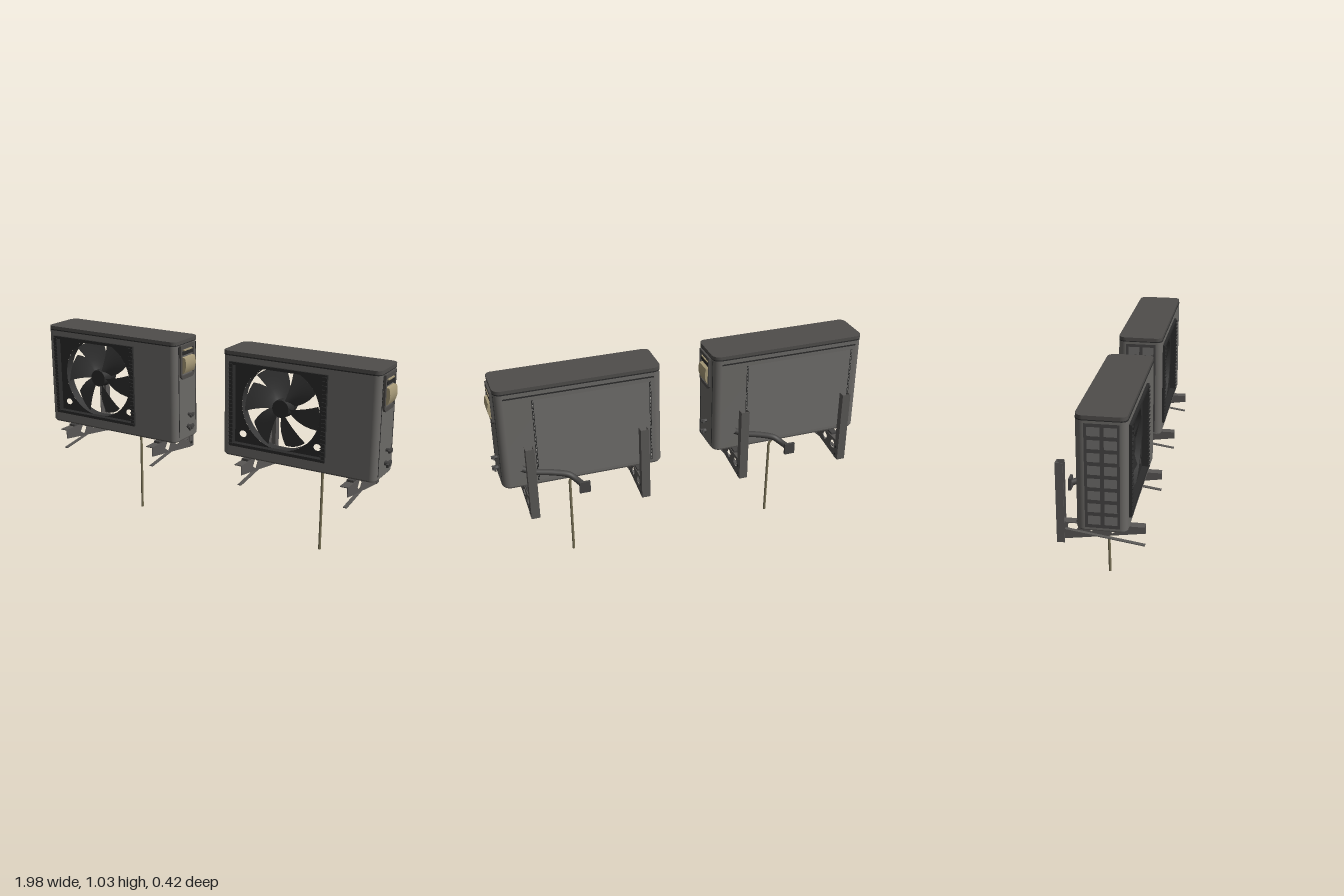
import * as THREE from 'three';

const mat = (name, color, side = THREE.FrontSide) => {
  const m = new THREE.MeshStandardMaterial({ color, side });
  m.name = name;
  return m;
};

export function createModel() {
  const M = {
    body: mat('casing grey', 0x6b6966),
    lid: mat('lid grey', 0x4f4d4b),
    black: mat('grille black', 0x2b2b2b),
    fan: mat('fan charcoal', 0x363636, THREE.DoubleSide),
    steel: mat('bracket steel', 0x595755),
    fins: mat('coil grey', 0x6e6d6b),
    pale: mat('seam pale grey', 0xa3a19d),
    tan: mat('cover tan', 0xa79a78),
    drain: mat('drain tan grey', 0x7a7257),
    hose: mat('hose dark grey', 0x454443),
  };
  const unit = new THREE.Group();
  const add = (parent, name, geo, material, x = 0, y = 0, z = 0) => {
    const m = new THREE.Mesh(geo, material);
    m.name = name;
    m.position.set(x, y, z);
    parent.add(m);
    return m;
  };
  const box = (parent, name, material, w, h, d, x, y, z) =>
    add(parent, name, new THREE.BoxGeometry(w, h, d), material, x, y, z);
  const rect = (x0, y0, x1, y1) => {
    const pts = [[x0, y0], [x1, y0], [x1, y1], [x0, y1]];
    return pts.map(p => new THREE.Vector2(...p));
  };
  const extrude = (shape, depth) =>
    new THREE.ExtrudeGeometry(shape, { depth, bevelEnabled: false, curveSegments: 20 });

  // Casing footprint (x, z), open along the front
  const foot = new THREE.Path();
  foot.moveTo(0.385, 0.15);
  foot.absarc(0.385, 0.12, 0.03, Math.PI / 2, 0, true);
  foot.absarc(0.375, -0.04, 0.04, 0, -Math.PI / 2, true);
  foot.absarc(-0.375, -0.04, 0.04, -Math.PI / 2, -Math.PI, true);
  foot.absarc(-0.385, 0.12, 0.03, Math.PI, Math.PI / 2, true);
  const ring = foot.getPoints(6);

  // Side and back walls, visible only from outside
  const Y0 = 0.495, Y1 = 1.012, pos = [], idx = [];
  ring.forEach((p, i) => {
    pos.push(p.x, Y0, p.y, p.x, Y1, p.y);
    const a = i * 2;
    if (i < ring.length - 1) idx.push(a, a + 2, a + 3, a, a + 3, a + 1);
  });
  const wall = new THREE.BufferGeometry();
  wall.setAttribute('position', new THREE.Float32BufferAttribute(pos, 3));
  wall.setIndex(idx);
  wall.computeVertexNormals();
  add(unit, 'casingWall', wall, M.body);

  // Front panel with the grille opening
  const G = [-0.371, 0.544, 0.157, 0.98];
  const front = new THREE.Shape(rect(-0.385, Y0, 0.385, Y1));
  front.holes.push(new THREE.Path(rect(...G)));
  add(unit, 'frontPanel', new THREE.ShapeGeometry(front), M.body, 0, 0, 0.15);

  // Lid and bottom pan share the footprint
  const slab = (name, material, depth, top, sx, sz) => {
    const g = extrude(new THREE.Shape(ring), depth);
    g.rotateX(Math.PI / 2);
    const m = add(unit, name, g, material, 0, top, 0);
    m.scale.set(sx, 1, sz);
  };
  slab('lid', M.lid, 0.018, 1.03, 1.005, 0.99);
  slab('lidShadowGap', M.black, 0.006, 1.013, 1.002, 1.005);
  slab('bottomPan', M.lid, 0.01, 0.497, 0.985, 0.97);

  // Grille bezel and recessed fan plate
  const bezel = new THREE.Shape(rect(...G));
  bezel.holes.push(new THREE.Path(rect(G[0] + 0.02, G[1] + 0.015, G[2] - 0.02, G[3] - 0.015)));
  add(unit, 'grilleBezel', extrude(bezel, 0.035), M.black, 0, 0, 0.127);
  const FX = -0.1, FY = 0.768, FR = 0.213;
  const plate = new THREE.Shape(rect(...G));
  plate.holes.push(new THREE.Path().absarc(FX, FY, FR, 0, Math.PI * 2, true));
  for (const x of [-0.305, 0.105])
    plate.holes.push(new THREE.Path().absellipse(x, 0.607, 0.02, 0.017, 0, Math.PI * 2, true));
  add(unit, 'fanPlate', new THREE.ShapeGeometry(plate, 24), M.black, 0, 0, 0.132);
  for (let i = 0; i < 21; i++)
    for (const x of [G[0] + 0.012, G[2] - 0.012])
      box(unit, 'grilleClip', M.black, 0.022, 0.005, 0.01, x, 0.557 + i * 0.0205, 0.163);

  // Fan shroud, blades, hub and motor
  const shroud = new THREE.CylinderGeometry(FR, FR, 0.05, 40, 1, true);
  shroud.rotateX(Math.PI / 2);
  add(unit, 'fanShroud', shroud, M.fan, FX, FY, 0.107);
  const fan = new THREE.Group();
  fan.name = 'fan';
  fan.position.set(FX, FY, 0.1);
  unit.add(fan);
  const blade = new THREE.RingGeometry(0.035, 0.204, 8, 5, 0, 1);
  const bp = blade.attributes.position;
  for (let i = 0; i < bp.count; i++) {
    const x = bp.getX(i), y = bp.getY(i), r = Math.hypot(x, y), t = Math.atan2(y, x);
    const k = (r - 0.035) / 0.169;
    const a = t * (1 - 0.3 * k) + 0.45 * k;
    bp.setXYZ(i, r * Math.cos(a), r * Math.sin(a), (t - 0.5) * 0.05);
  }
  blade.computeVertexNormals();
  for (let i = 0; i < 6; i++)
    add(fan, 'fanBlade', blade, M.fan).rotation.z = i * Math.PI / 3 + 0.1;
  const hub = new THREE.CylinderGeometry(0.045, 0.05, 0.05, 24);
  hub.rotateX(Math.PI / 2);
  add(fan, 'fanHub', hub, M.black, 0, 0, 0.005);
  const motor = new THREE.CylinderGeometry(0.04, 0.04, 0.06, 20);
  motor.rotateX(Math.PI / 2);
  add(fan, 'fanMotor', motor, M.black, 0, 0, -0.05);

  // Back coil panel and its seams, facing backwards only
  const back = (name, material, w, h, x, y, z) =>
    (add(unit, name, new THREE.PlaneGeometry(w, h), material, x, y, z).rotation.y = Math.PI);
  back('coilPanel', M.fins, 0.59, 0.45, -0.06, 0.735, -0.082);
  back('topSeam', M.black, 0.75, 0.008, 0, 0.985, -0.083);
  for (const x of [-0.355, 0.235]) {
    back('sideSeam', M.black, 0.01, 0.45, x, 0.735, -0.083);
    for (let i = 0; i < 22; i++)
      back('seamMark', M.pale, 0.003, 0.013, x, 0.52 + i * 0.0205, -0.084);
  }

  // Slotted air intake on the right end
  const end = (name, material, w, h, y, z, x) =>
    (add(unit, name, new THREE.PlaneGeometry(w, h), material, x, y, z).rotation.y = -Math.PI / 2);
  end('intakeFrame', M.hose, 0.155, 0.49, 0.75, 0.04, -0.416);
  for (let i = 0; i < 8; i++)
    for (const z of [0.004, 0.078])
      end('intakeSlot', M.fins, 0.056, 0.042, 0.543 + i * 0.0595, z, -0.418);

  // Service cover on the left end: frame, handle slot and bulged cover
  const frame = new THREE.Shape();
  [[-0.109, 1.005], [-0.109, 0.842], [-0.09, 0.825], [0.004, 0.825], [0.022, 0.842], [0.022, 1.005]]
    .forEach((p, i) => (i ? frame.lineTo(...p) : frame.moveTo(...p)));
  frame.holes.push(new THREE.Path(rect(-0.095, 0.845, 0.012, 0.985)));
  const frameGeo = extrude(frame, 0.014);
  frameGeo.rotateY(Math.PI / 2);
  add(unit, 'serviceFrame', frameGeo, M.lid, 0.412, 0, 0);
  box(unit, 'serviceRecess', M.body, 0.004, 0.14, 0.107, 0.416, 0.915, 0.0415);
  box(unit, 'serviceSlot', M.black, 0.012, 0.02, 0.1, 0.42, 0.963, 0.04);
  box(unit, 'serviceSlotTrim', M.tan, 0.014, 0.006, 0.08, 0.421, 0.977, 0.04);
  const cover = new THREE.Shape();
  cover.moveTo(0.412, 0.853);
  cover.lineTo(0.428, 0.856);
  cover.quadraticCurveTo(0.45, 0.895, 0.435, 0.938);
  cover.lineTo(0.412, 0.942);
  add(unit, 'serviceCover', extrude(cover, 0.096), M.tan, 0, 0, -0.01);
  for (const z of [0.116, -0.05])
    box(unit, 'endSeam', M.black, 0.003, 0.49, 0.004, z > 0 ? 0.415 : 0.414, 0.755, z);

  // Service valves
  for (const [y, z, r] of [[0.62, 0.025, 0.009], [0.555, 0.033, 0.012]]) {
    const stem = new THREE.CylinderGeometry(r, r, 0.035, 10);
    stem.rotateZ(Math.PI / 2);
    add(unit, 'valveStem', stem, M.hose, 0.428, y, z);
    box(unit, 'valveNut', M.hose, 0.012, r * 1.2, r * 3.6, 0.436, y, z).rotation.x = 0.3;
    box(unit, 'valvePort', M.hose, 0.01, r * 2.6, r * 0.8, 0.43, y - r * 0.5, z);
  }

  // Wall brackets: post channel, holed arm plate and flanges
  const arm = new THREE.Shape();
  [[0.21, 0.415], [0.21, 0.465], [-0.19, 0.465], [-0.19, 0.36], [-0.16, 0.36]]
    .forEach((p, i) => (i ? arm.lineTo(-p[0], p[1]) : arm.moveTo(-p[0], p[1])));
  for (const [z, r, n] of [[0.062, 0.029, 4], [-0.035, 0.027, 4], [-0.125, 0.024, 12]]) {
    const hole = new THREE.Path();
    for (let i = 0; i <= n; i++) {
      const a = i / n * Math.PI * 2 + 0.2;
      hole[i ? 'lineTo' : 'moveTo'](-z + r * Math.cos(a), 0.43 - 0.005 * (n > 4) + r * Math.sin(a));
    }
    arm.holes.push(hole);
  }
  const armGeo = extrude(arm, 0.004);
  armGeo.rotateY(Math.PI / 2);
  for (const x of [-0.29, 0.285]) {
    const b = new THREE.Group();
    b.name = 'wallBracket';
    b.position.x = x;
    unit.add(b);
    add(b, 'armPlate', armGeo, M.steel, 0.017);
    box(b, 'armTop', M.steel, 0.042, 0.004, 0.38, 0, 0.464, 0.02);
    box(b, 'armLip', M.steel, 0.02, 0.004, 0.372, 0.009, 0.388, 0.025).rotation.x = 0.148;
    box(b, 'postPlate', M.steel, 0.044, 0.395, 0.004, 0, 0.5575, -0.19);
    for (const s of [-1, 1])
      box(b, 'postFlange', M.steel, 0.004, 0.395, 0.035, s * 0.02, 0.5575, -0.173);
    box(b, 'footRail', M.black, 0.045, 0.014, 0.15, 0, 0.482, 0.03);
    box(b, 'footPad', M.hose, 0.035, 0.012, 0.24, 0, 0.471, 0.02);
    for (const y of [0.385, 0.43])
      box(b, 'bracketBolt', M.black, 0.008, 0.012, 0.012, 0.022, y, -0.17);
  }

  // Bent tubes: drain pipe and insulated hose
  const tube = (name, pts, r, material) => {
    const c = new THREE.CatmullRomCurve3(pts.map(p => new THREE.Vector3(...p)), false, 'centripetal');
    add(unit, name, new THREE.TubeGeometry(c, 40, r, 10), material);
  };
  tube('drainPipe', [[0.005, 0.49, -0.02], [0.015, 0.472, -0.022], [0.055, 0.455, -0.025],
    [0.067, 0.435, -0.025], [0.068, 0.4, -0.025], [0.07, 0, -0.017]], 0.007, M.drain);
  tube('insulatedHose', [[0.325, 0.63, -0.14], [0.27, 0.6, -0.138], [0.17, 0.565, -0.122],
    [0.085, 0.53, -0.118], [0.055, 0.51, -0.145], [0.03, 0.497, -0.195]], 0.016, M.hose);
  box(unit, 'wallSleeve', M.hose, 0.055, 0.06, 0.014, 0.03, 0.497, -0.2);

  // Two identical units side by side
  const model = new THREE.Group();
  model.name = 'outdoorUnits';
  unit.name = 'rightUnit';
  const other = unit.clone();
  other.name = 'leftUnit';
  unit.position.x = -0.565;
  other.position.x = 0.548;
  model.add(unit, other);
  return model;
}
